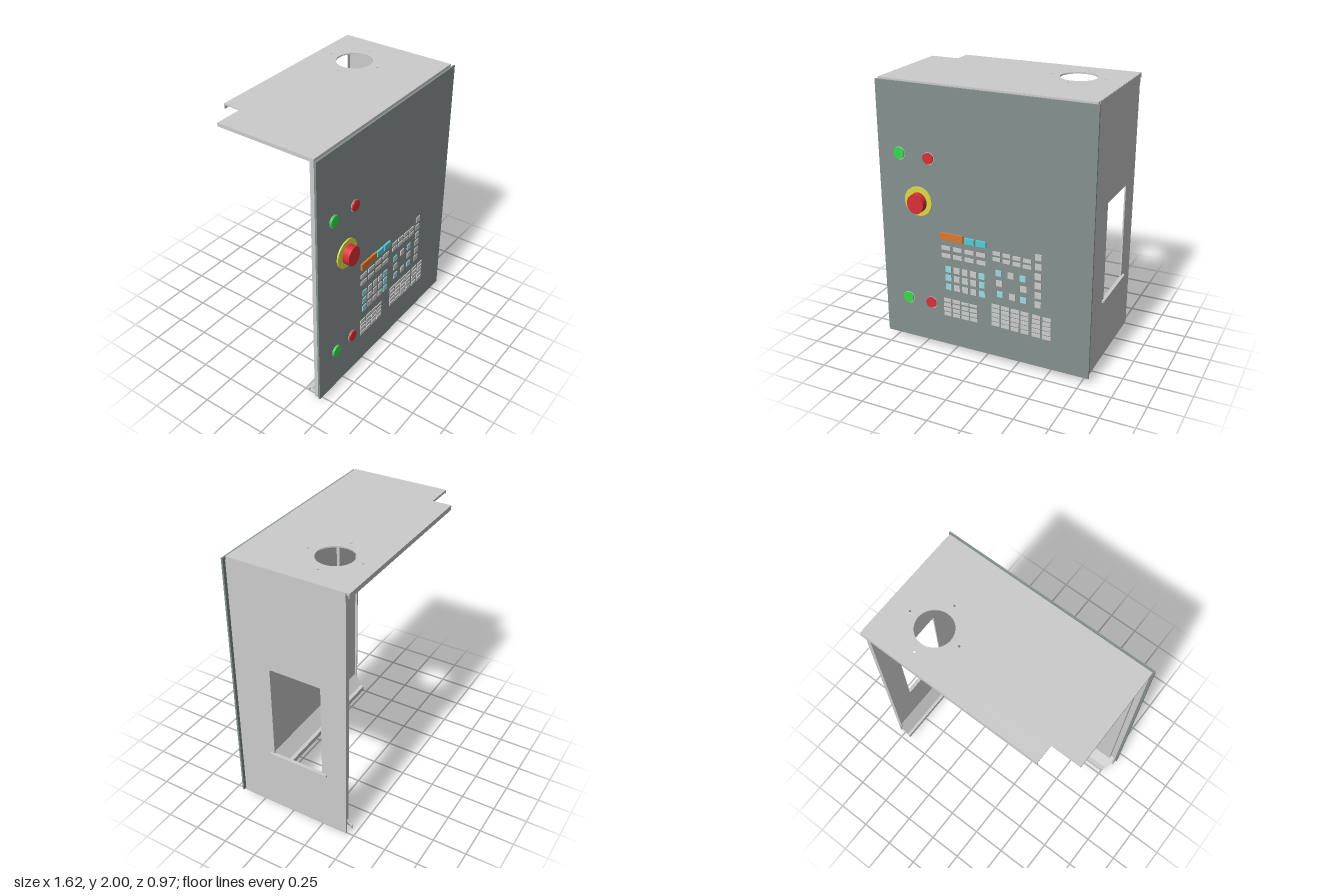
import * as THREE from 'three';

const mat = (color) => new THREE.MeshStandardMaterial({ color, side: THREE.DoubleSide, flatShading: true });
const GREY = mat(0xcccccc), DOOR = mat(0x85918f), GREEN = mat(0x33dd44), RED = mat(0xd93036);
const YELLOW = mat(0xdada48), ORANGE = mat(0xd97830), CYAN = mat(0x55ccd4), PALE = mat(0x9adde2);

export function createModel() {
  const root = new THREE.Group();

  const add = (name, geometry, material = GREY, parent = root) => {
    const mesh = new THREE.Mesh(geometry, material);
    mesh.name = name;
    parent.add(mesh);
    return mesh;
  };
  // box given by its limits on each axis
  const box = (name, x0, x1, y0, y1, z0, z1, material, parent) => {
    const m = add(name, new THREE.BoxGeometry(x1 - x0, y1 - y0, z1 - z0), material, parent);
    m.position.set((x0 + x1) / 2, (y0 + y1) / 2, (z0 + z1) / 2);
    return m;
  };
  // thin four-cornered sheet
  const sheet = (name, ...corners) => {
    const g = new THREE.BufferGeometry();
    g.setAttribute('position', new THREE.Float32BufferAttribute(corners.flat(), 3));
    g.setIndex([0, 1, 2, 0, 2, 3]);
    g.computeVertexNormals();
    return add(name, g);
  };
  const outline = (points) => new THREE.Shape(points.map(([x, y]) => new THREE.Vector2(x, y)));
  const plate = (shape, depth) =>
    new THREE.ExtrudeGeometry(shape, { depth, bevelEnabled: false, curveSegments: 24 });

  // roof with notched corner, round opening and four screw holes, drawn in x and z
  const roofShape = outline([[-0.8, 0.4], [0.787, 0.4], [0.787, -0.485], [-0.585, -0.485], [-0.585, -0.345], [-0.8, -0.345]]);
  const hole = (x, z, r) => roofShape.holes.push(new THREE.Path().absarc(x, z, r, 0, Math.PI * 2, true));
  hole(0.44, -0.18, 0.13);
  for (const [dx, dz] of [[1, 0], [-1, 0], [0, 1], [0, -1]]) hole(0.44 + dx * 0.197, -0.18 + dz * 0.197, 0.008);
  const roof = add('roof', plate(roofShape, 0.01).rotateX(Math.PI / 2));
  roof.position.y = 2;
  box('roofBackLip', -0.585, 0.787, 1.965, 2, -0.485, -0.477);
  box('roofNotchLip', -0.8, -0.585, 1.983, 2, -0.345, -0.338);
  box('roofLeftLip', 0.785, 0.79, 1.935, 1.998, -0.46, 0.37);
  box('roofRightLip', -0.8, -0.793, 1.975, 2, -0.345, 0.4);
  box('roofFrontLip', -0.8, 0.787, 1.965, 2, 0.392, 0.4);

  // side wall with window opening, drawn in z and y
  const wallShape = outline([[0.4, 0.04], [0.4, 1.99], [-0.46, 1.99], [-0.46, 0.04]]);
  wallShape.holes.push(outline([[0.12, 0.52], [-0.27, 0.52], [-0.27, 1.24], [0.12, 1.24]]));
  const wall = add('sideWall', plate(wallShape, 0.01).rotateY(-Math.PI / 2));
  wall.position.x = 0.787;
  box('sideWallReturn', 0.752, 0.787, 0.16, 1.97, -0.46, -0.452);

  // ledge below the window with chamfered ends
  const ledge = add('windowLedge', plate(outline([
    [0.787, 0.155], [0.798, 0.155], [0.805, 0.14], [0.805, -0.295], [0.798, -0.31], [0.787, -0.31],
  ]), 0.017).rotateX(Math.PI / 2));
  ledge.position.y = 0.522;

  // front frame wall, its raised column and edge return
  box('frontWall', -0.8, 0.78, 0.04, 1.985, 0.392, 0.4);
  box('frontColumn', -0.755, -0.51, 0.14, 1.96, 0.368, 0.392);
  box('frontWallReturn', -0.8, -0.79, 0.04, 1.98, 0.37, 0.4);

  // sloped sills, flat undersides and bottom lips, mitred at the corner
  sheet('frontSill', [-0.79, 0.14, 0.392], [0.78, 0.14, 0.392], [0.69, 0, 0.28], [-0.755, 0, 0.28]);
  sheet('sideSill', [0.777, 0.15, 0.392], [0.777, 0.15, -0.46], [0.69, 0, -0.46], [0.69, 0, 0.28]);
  sheet('frontUnderside', [-0.79, 0.04, 0.4], [-0.755, 0.04, 0.28], [0.69, 0.04, 0.28], [0.787, 0.04, 0.4]);
  sheet('sideUnderside', [0.787, 0.04, 0.4], [0.69, 0.04, 0.28], [0.69, 0.04, -0.46], [0.787, 0.04, -0.46]);
  box('frontBottomLip', -0.755, 0.69, 0, 0.04, 0.28, 0.286);
  box('sideBottomLip', 0.69, 0.696, 0, 0.04, -0.46, 0.28);

  // door and the seal behind it
  box('door', -0.81, 0.805, 0.045, 1.99, 0.41, 0.423, DOOR);
  const seal = new THREE.Group();
  seal.name = 'doorSeal';
  root.add(seal);
  for (const [y0, y1] of [[0.05, 0.07], [1.95, 1.97]]) box('sealRail', -0.77, 0.775, y0, y1, 0.4, 0.41, GREY, seal);
  for (const [x0, x1] of [[-0.785, -0.765], [0.76, 0.78]]) box('sealStile', x0, x1, 0.05, 1.97, 0.4, 0.41, GREY, seal);

  // round controls
  const disc = (name, x, y, rx, ry, z0, z1, material) => {
    const m = add(name, new THREE.CylinderGeometry(1, 1, z1 - z0, 40).rotateX(Math.PI / 2), material);
    m.scale.set(rx, ry, 1);
    m.position.set(x, y, (z0 + z1) / 2);
  };
  for (const [name, x, y, r, m] of [
    ['upperGreenButton', -0.64, 1.485, 0.041, GREEN], ['upperRedButton', -0.41, 1.477, 0.04, RED],
    ['lowerGreenButton', -0.617, 0.367, 0.041, GREEN], ['lowerRedButton', -0.425, 0.365, 0.041, RED],
  ]) {
    disc(name + 'Ring', x, y - 0.002, r + 0.004, r + 0.005, 0.423, 0.426, GREY);
    disc(name, x, y, r, r, 0.423, 0.437, m);
  }
  disc('emergencyStopPlate', -0.5, 1.149, 0.108, 0.108, 0.423, 0.434, YELLOW);
  disc('emergencyStopKnob', -0.495, 1.145, 0.064, 0.073, 0.434, 0.485, RED);

  // keypad
  const pad = new THREE.Group();
  pad.name = 'keypad';
  root.add(pad);
  const key = (x, y, w, h, material = GREY, top = 0.429) =>
    box('key', x - w / 2, x + w / 2, y - h / 2, y + h / 2, 0.42, top, material, pad);
  const grid = (xs, ys, w, h, drop = 0, paint = () => GREY) =>
    xs.forEach((x, i) => ys.forEach((y) => key(x, y - i * drop, w, h, paint(i))));

  key(-0.24, 0.918, 0.178, 0.054, ORANGE, 0.438);
  key(-0.101, 0.914, 0.076, 0.044, CYAN, 0.438);
  key(-0.011, 0.914, 0.076, 0.044, CYAN, 0.438);
  grid([-0.291, -0.2, -0.107, -0.015], [0.828, 0.768], 0.07, 0.031);
  grid([0.105, 0.181, 0.258, 0.335], [0.863, 0.818], 0.06, 0.028, 0.003);
  grid([0.418], [0.896, 0.825, 0.752, 0.682, 0.609, 0.537], 0.048, 0.046);
  grid([-0.277, -0.21, -0.144, -0.078, -0.01], [0.663, 0.595, 0.523], 0.046, 0.046, 0,
    (i) => (i === 0 || i === 4 ? PALE : GREY));
  for (const [x, y] of [[0.12, 0.715], [0.305, 0.712], [0.13, 0.553], [0.31, 0.548]]) key(x, y, 0.045, 0.045, PALE);
  for (const [x, y] of [[0.213, 0.715], [0.125, 0.638], [0.31, 0.633], [0.225, 0.552]]) key(x, y, 0.046, 0.046);
  grid([-0.291, -0.219, -0.148, -0.08], [0.373, 0.335, 0.298], 0.06, 0.026);
  [-0.291, -0.219, -0.148, -0.08].forEach((x, i) => key(x, 0.412, 0.06, i < 2 ? 0.026 : 0.018));
  grid([0.096, 0.171, 0.246, 0.321, 0.408, 0.487], [0.452, 0.415, 0.379, 0.343, 0.307], 0.063, 0.027, 0.003);

  return root;
}
